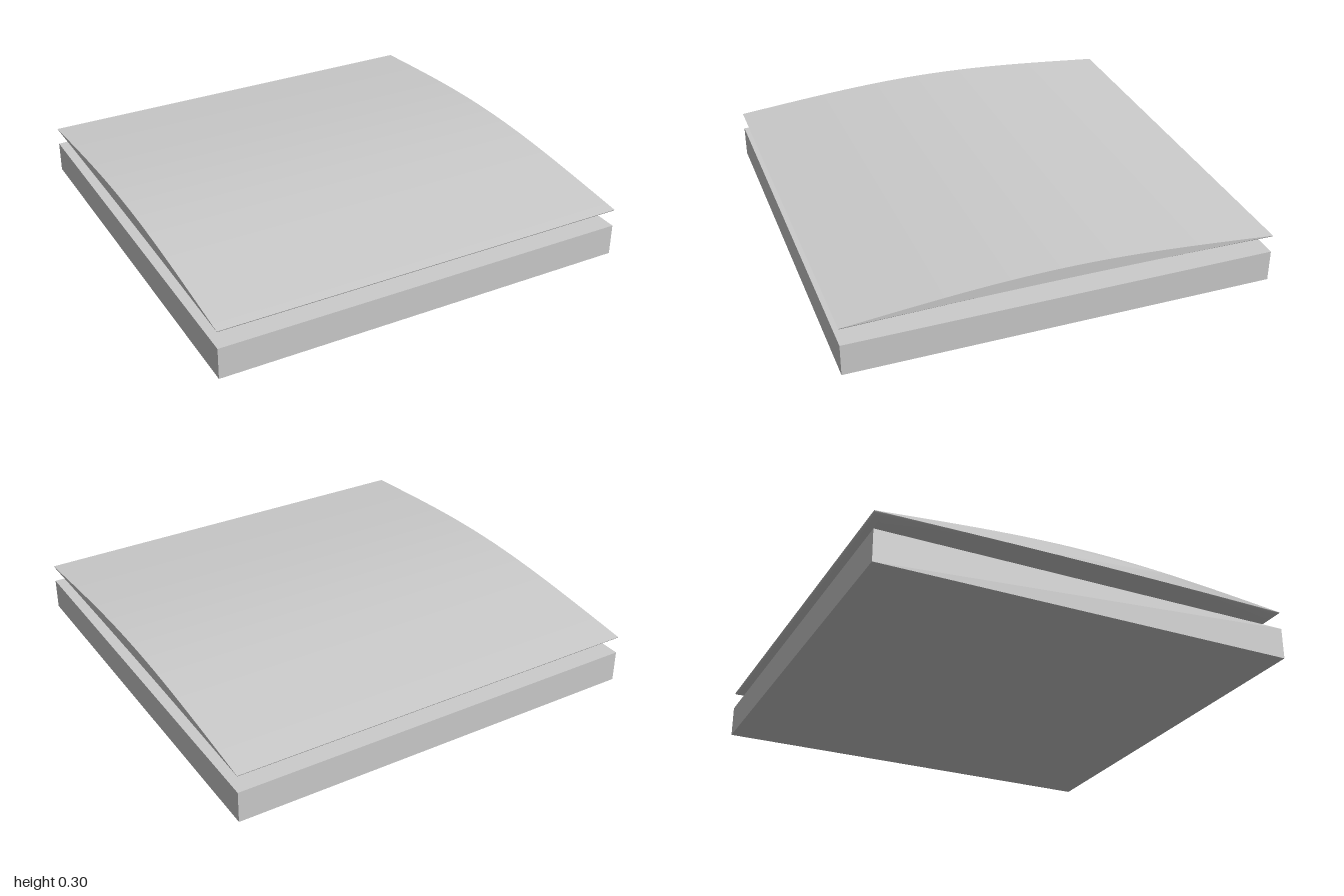
import * as THREE from 'three';
import { toCreasedNormals } from 'three/addons/utils/BufferGeometryUtils.js';

const material = new THREE.MeshStandardMaterial({ color: 0xcccccc });

// Shallow arch: 1 at the middle, 0 at z = -1 and z = 1
const arch = (z) => 0.75 * (1 - z * z) + 0.125 * (1 + Math.cos(Math.PI * z));
const topHeight = (z) => 0.235 + 0.065 * arch(z);
const edgeHeight = (z) => 0.235 + 0.008 * arch(z);
const neckHeight = (z) => 0.206 + 0.036 * arch(Math.min(1, Math.abs(z) / 0.8));

function addMesh(parent, name, geometry) {
  const mesh = new THREE.Mesh(geometry, material);
  mesh.name = name;
  parent.add(mesh);
  return mesh;
}

// Arched top with crescent-shaped ends, swept along x
function capGeometry() {
  const n = 48;
  const points = [];
  for (let i = 0; i <= n; i++) {
    const z = -1 + (2 * i) / n;
    points.push(new THREE.Vector2(z, edgeHeight(z)));
  }
  for (let i = n - 1; i > 0; i--) {
    const z = -1 + (2 * i) / n;
    points.push(new THREE.Vector2(z, topHeight(z)));
  }
  const geometry = new THREE.ExtrudeGeometry(new THREE.Shape(points), { depth: 2, bevelEnabled: false });
  geometry.rotateY(Math.PI / 2).translate(-1, 0, 0);
  return toCreasedNormals(geometry, 0.5);
}

// One mitred side of the underside, curving from the rim down to the neck
function undersideGeometry(angle) {
  const geometry = new THREE.PlaneGeometry(2, 2, 40, 16);
  const pos = geometry.attributes.position;
  const c = Math.cos(angle);
  const s = Math.sin(angle);
  for (let i = 0; i < pos.count; i++) {
    const a = ((1 - pos.getY(i)) / 2) * (Math.PI / 2);
    const k = 1 - 0.2 * (1 - Math.cos(a));
    const along = pos.getX(i) * k;
    const x = along * c + k * s;
    const z = -along * s + k * c;
    const y = THREE.MathUtils.lerp(edgeHeight(z / k), neckHeight(0.8 * z / k), Math.sin(a));
    pos.setXYZ(i, x, y, z);
  }
  geometry.computeVertexNormals();
  return geometry;
}

export function createModel() {
  const group = new THREE.Group();
  group.name = 'cushionedPad';

  // Square base slab
  addMesh(group, 'base', new THREE.BoxGeometry(2, 0.15, 2)).position.y = 0.075;

  // Recessed block joining base and cap
  addMesh(group, 'neck', new THREE.BoxGeometry(1.6, 0.095, 1.6)).position.y = 0.1975;

  // Arched cap with its rounded underside
  const cap = new THREE.Group();
  cap.name = 'cap';
  addMesh(cap, 'capTop', capGeometry());
  for (let i = 0; i < 4; i++) addMesh(cap, 'capUnderside', undersideGeometry((i * Math.PI) / 2));
  group.add(cap);

  return group;
}
